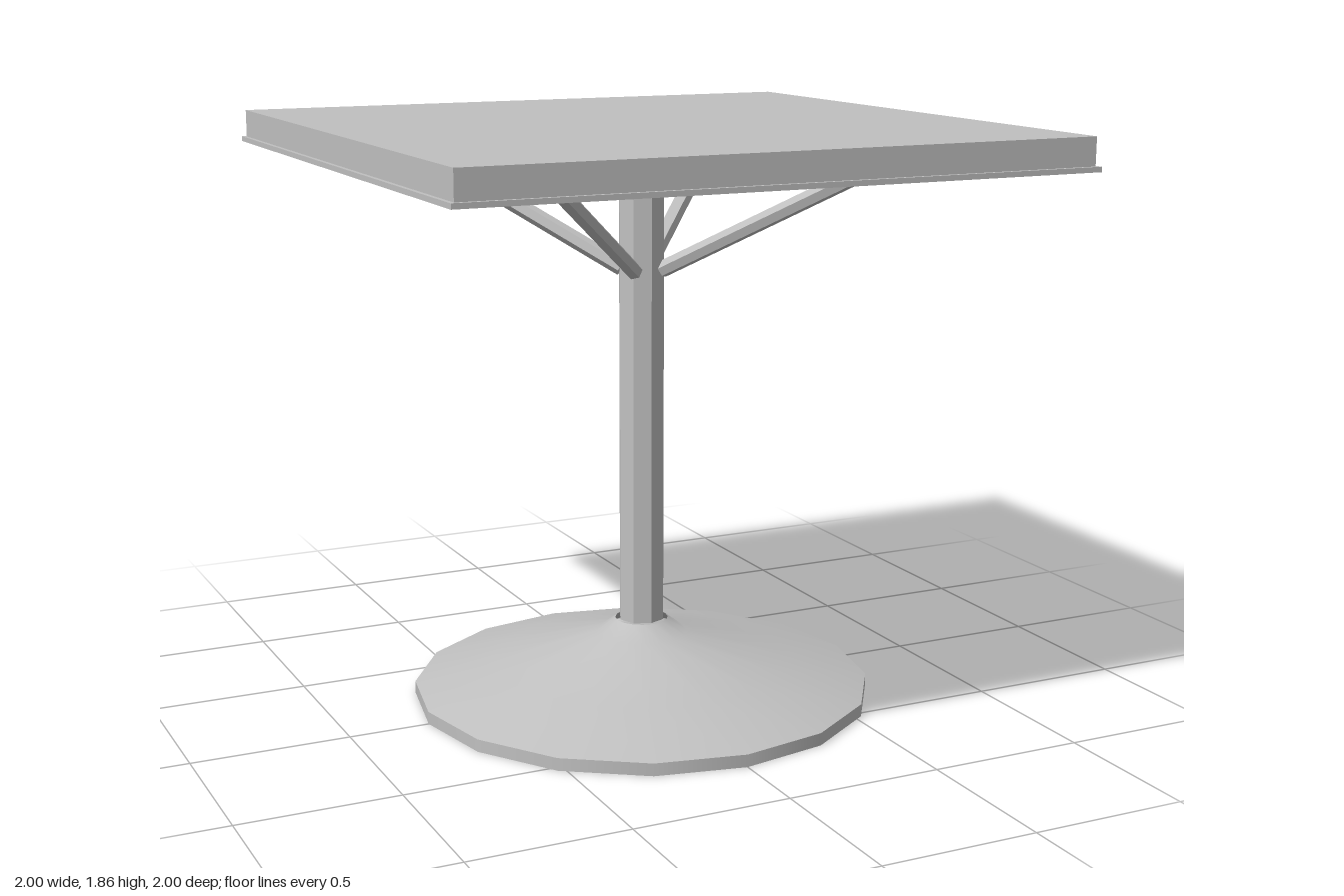
import * as THREE from 'three';

export function createModel() {
  const table = new THREE.Group();
  table.name = 'pedestalTable';

  const grey = new THREE.MeshStandardMaterial({ color: 0xc0c0c0, side: THREE.DoubleSide });
  grey.name = 'grey';
  const facetedGrey = grey; // facets come from unshared normals

  function add(name, geometry, material = grey) {
    const mesh = new THREE.Mesh(geometry, material);
    mesh.name = name;
    table.add(mesh);
    return mesh;
  }

  // Gives every face its own normal
  function faceted(geometry) {
    const flat = geometry.toNonIndexed();
    flat.computeVertexNormals();
    return flat;
  }

  // Square top with a thin projecting lip underneath
  add('tableTop', new THREE.BoxGeometry(1.974, 0.088, 1.974)).position.y = 1.814;
  add('tableTopLip', new THREE.BoxGeometry(2, 0.016, 2)).position.y = 1.763;

  // Octagonal tube, stopping just short of the top
  const column = add('column', faceted(new THREE.CylinderGeometry(0.075, 0.075, 1.46, 8, 1, true)), facetedGrey);
  column.position.y = 0.98;

  // Hollow sixteen-sided foot: sloping shell and upright rim
  const ring = (points) => new THREE.LatheGeometry(points.map(([r, y]) => new THREE.Vector2(r, y)), 16);
  add('baseShell', ring([[0.742, 0.04], [0.49, 0.114], [0.147, 0.204], [0.086, 0.25]]));
  add('baseRim', ring([[0.742, 0], [0.742, 0.04]]));

  // Four braces running out towards the corners
  const up = new THREE.Vector3(0, 1, 0);
  for (const sx of [-1, 1]) {
    for (const sz of [-1, 1]) {
      const start = new THREE.Vector3(0.047 * sx, 1.4, 0.047 * sz);
      const end = new THREE.Vector3(0.52 * sx, 1.742, 0.52 * sz);
      const axis = end.clone().sub(start);
      const brace = add('brace', faceted(new THREE.CylinderGeometry(0.027, 0.027, axis.length(), 6)), facetedGrey);
      brace.position.copy(start).add(end).multiplyScalar(0.5);
      brace.quaternion.setFromUnitVectors(up, axis.normalize());
    }
  }

  return table;
}
